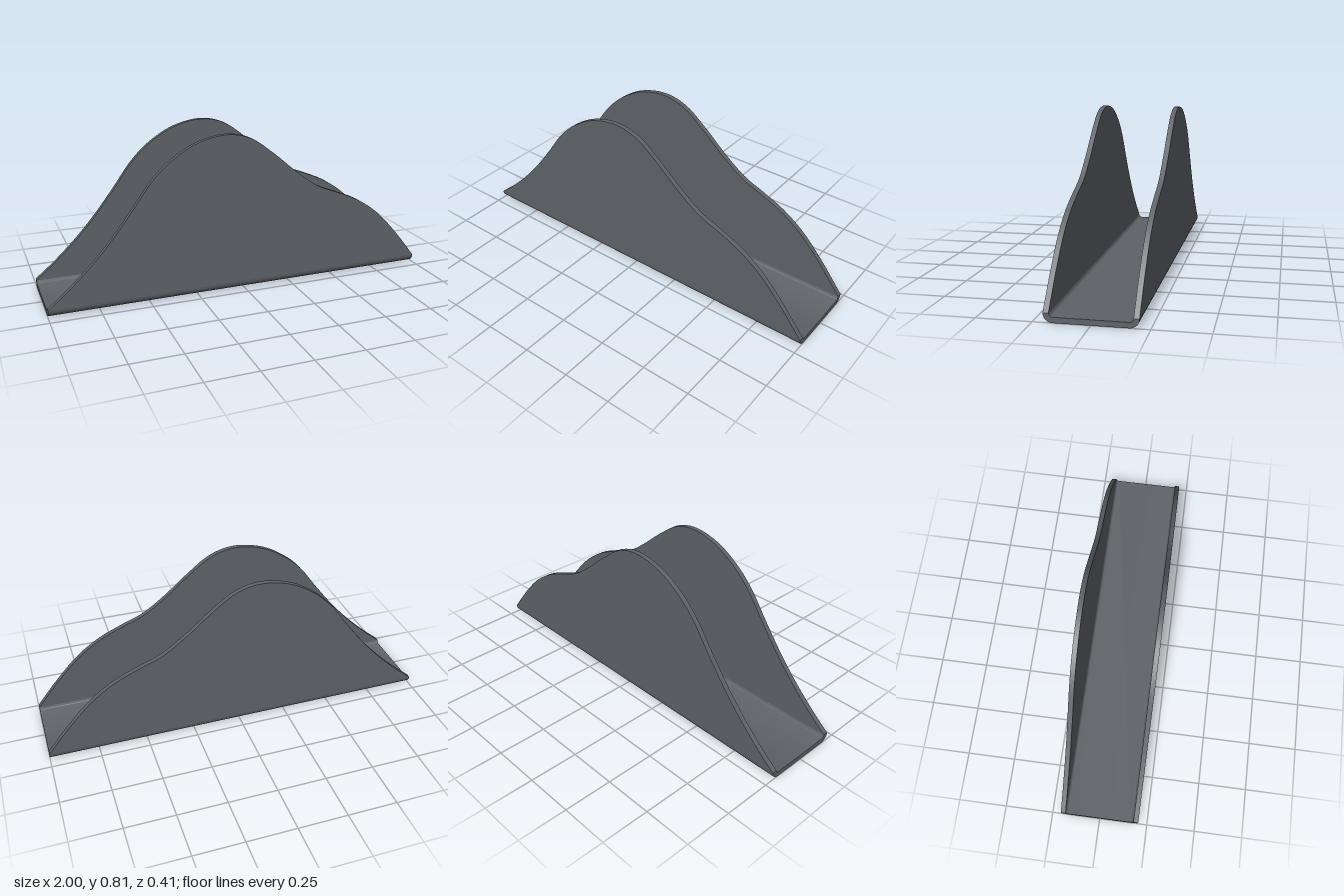
import * as THREE from 'three';
import { toCreasedNormals } from 'three/addons/utils/BufferGeometryUtils.js';

const HALF = 0.204; // half depth
const T = 0.025; // sheet thickness
const R = 0.042; // outer bend radius

export function createModel() {
  const group = new THREE.Group();
  group.name = 'napkinHolder';
  const material = new THREE.MeshStandardMaterial({ color: 0x5f6368 });

  const add = (geometry, name) => {
    const mesh = new THREE.Mesh(toCreasedNormals(geometry, 0.6), material);
    mesh.name = name;
    group.add(mesh);
  };

  // Base: a flat sheet with both long edges bent upward, swept along x
  const section = new THREE.Shape();
  section.moveTo(-HALF, R);
  section.absarc(-HALF + R, R, R, Math.PI, Math.PI * 1.5, false);
  section.absarc(HALF - R, R, R, Math.PI * 1.5, Math.PI * 2, false);
  section.absarc(HALF - R, R, R - T, Math.PI * 2, Math.PI * 1.5, true);
  section.absarc(-HALF + R, R, R - T, Math.PI * 1.5, Math.PI, true);
  section.closePath();
  const base = new THREE.ExtrudeGeometry(section, { depth: 2, bevelEnabled: false, curveSegments: 10 });
  base.translate(0, 0, -1).rotateY(Math.PI / 2);
  add(base, 'base');

  // Side panels: mountain-shaped outline with a smooth crest and a right shoulder
  const crest = [
    [-1, R], [-0.9, 0.125], [-0.79, 0.23], [-0.69, 0.34], [-0.58, 0.48], [-0.48, 0.615],
    [-0.38, 0.71], [-0.25, 0.785], [-0.1, 0.815], [0.03, 0.785], [0.15, 0.7], [0.28, 0.59],
    [0.4, 0.505], [0.52, 0.455], [0.64, 0.4], [0.76, 0.315], [0.88, 0.19], [1, R],
  ].map(([x, y]) => new THREE.Vector2(x, y));
  const outline = new THREE.Shape();
  outline.moveTo(1, R);
  outline.lineTo(-1, R);
  outline.splineThru(crest.slice(1));
  for (const [name, z] of [['frontPanel', HALF - T], ['backPanel', -HALF]]) {
    const panel = new THREE.ExtrudeGeometry(outline, { depth: T, bevelEnabled: false, curveSegments: 6 });
    panel.translate(0, 0, z);
    add(panel, name);
  }

  return group;
}
